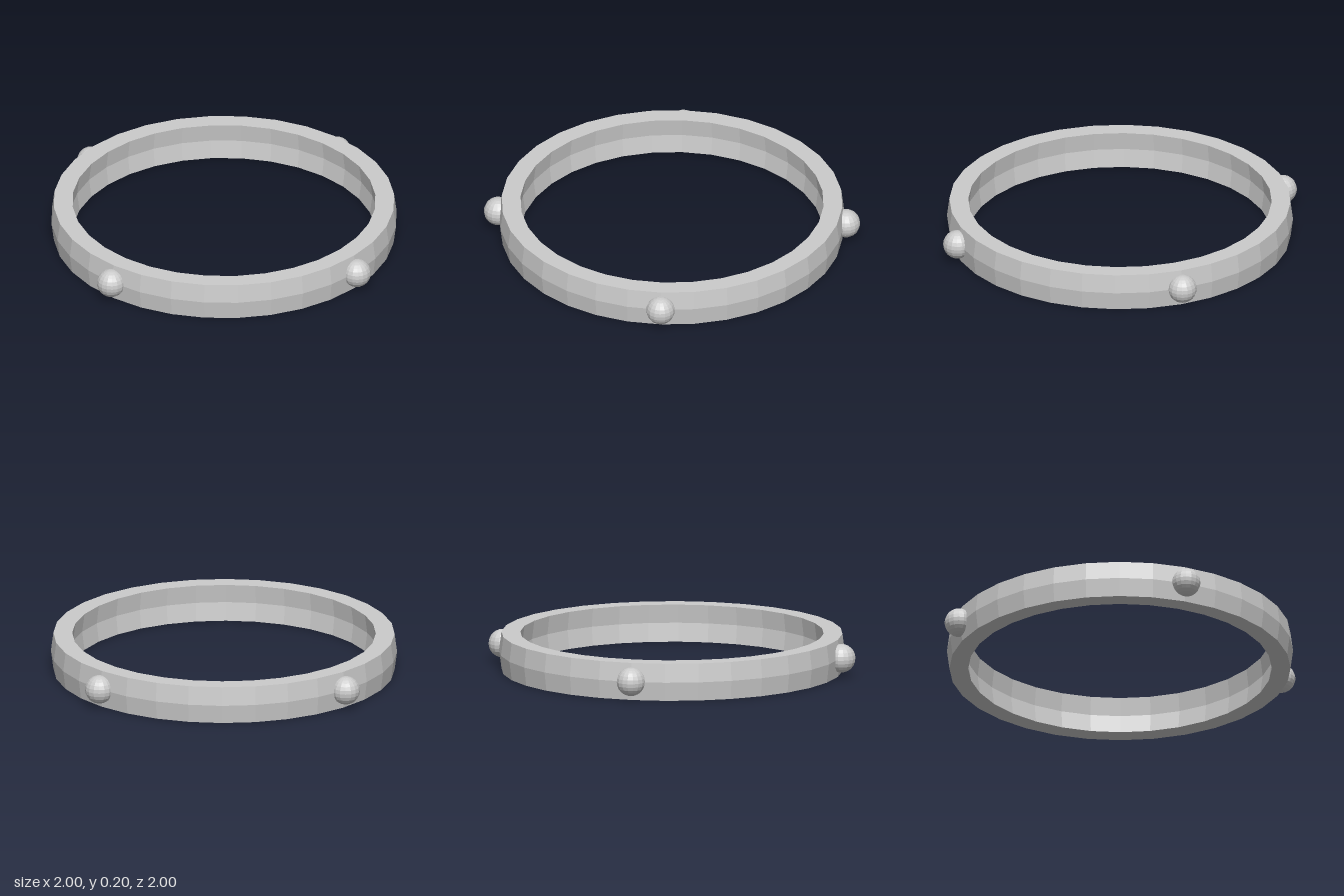
import * as THREE from 'three';

export function createModel() {
  const model = new THREE.Group();
  model.name = 'studdedRing';
  const material = new THREE.MeshStandardMaterial({ color: 0xcccccc, flatShading: true });

  // Faceted band, swelling slightly at mid-height on both walls
  const profile = [
    [0.905, 0], [0.918, 0.1], [0.905, 0.2],
    [0.805, 0.2], [0.818, 0.1], [0.805, 0], [0.905, 0],
  ].map(([r, y]) => new THREE.Vector2(r, y));
  const band = new THREE.Mesh(new THREE.LatheGeometry(profile, 32), material);
  band.name = 'band';
  model.add(band);

  // Four round studs set into the outer wall
  const studGeometry = new THREE.SphereGeometry(0.076, 16, 12);
  ['front', 'left', 'back', 'right'].forEach((side, i) => {
    const angle = (i * Math.PI) / 2;
    const stud = new THREE.Mesh(studGeometry, material);
    stud.name = side + 'Stud';
    stud.position.set(Math.sin(angle) * 0.924, 0.102, Math.cos(angle) * 0.924);
    model.add(stud);
  });

  return model;
}
